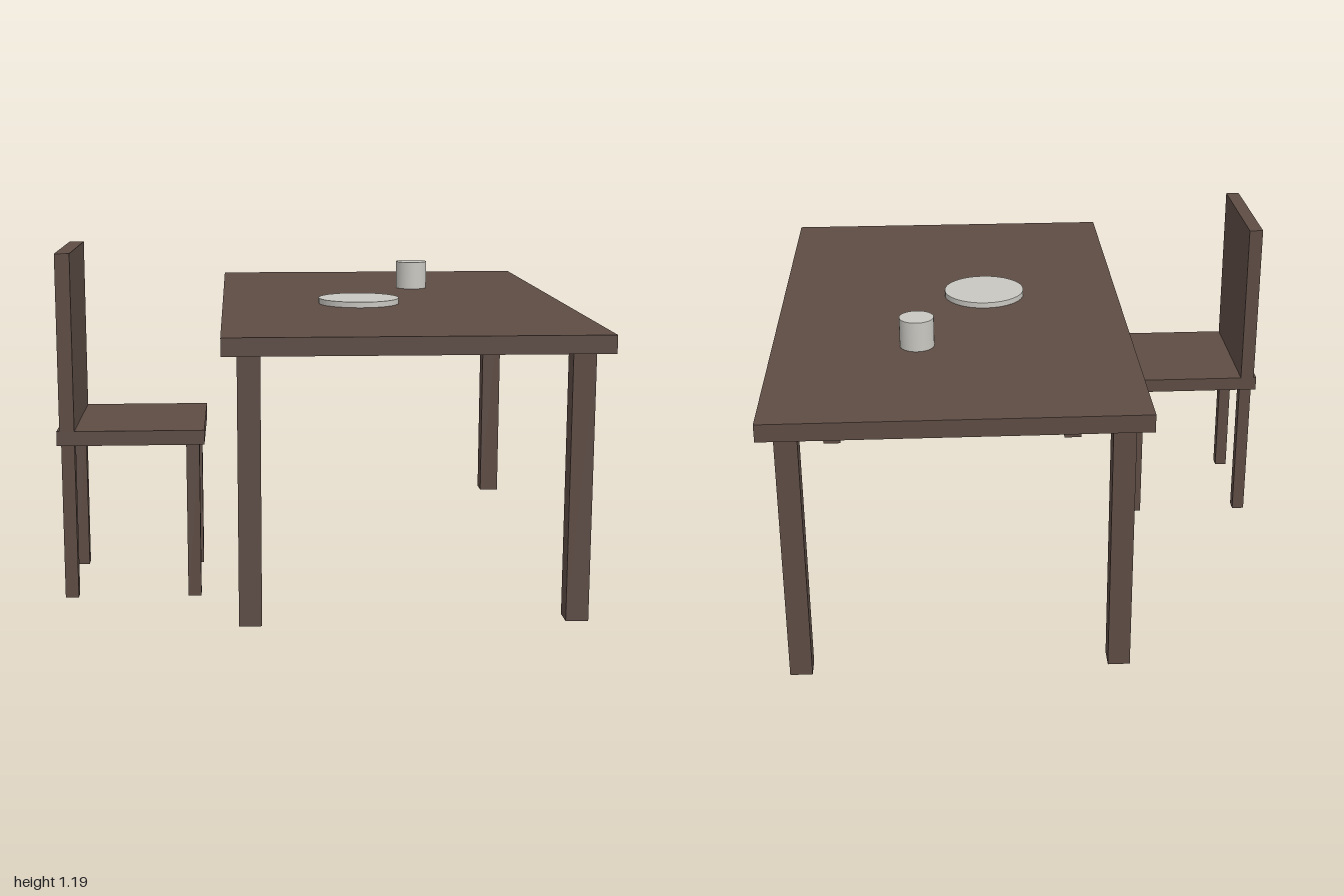
import * as THREE from 'three';

export function createModel() {
  const wood = new THREE.MeshStandardMaterial({ color: 0x5d4c44 });
  wood.name = 'dark wood';
  const ceramic = new THREE.MeshStandardMaterial({ color: 0xc9c7c1 });
  ceramic.name = 'pale ceramic';

  const makeGroup = (name) => {
    const group = new THREE.Group();
    group.name = name;
    return group;
  };

  // Box or cylinder standing on height y
  const addPart = (parent, name, geometry, material, x, y, z, height) => {
    const mesh = new THREE.Mesh(geometry, material);
    mesh.name = name;
    mesh.position.set(x, y + height / 2, z);
    parent.add(mesh);
  };
  const addBox = (parent, name, w, h, d, x, y, z) =>
    addPart(parent, name, new THREE.BoxGeometry(w, h, d), wood, x, y, z, h);
  const addRound = (parent, name, r, h, x, y, z) =>
    addPart(parent, name, new THREE.CylinderGeometry(r, r, h, 32), ceramic, x, y, z, h);

  // Four square legs at every pairing of the given x and z positions
  const addLegs = (parent, name, size, height, xs, zs) => {
    for (const x of xs) for (const z of zs) addBox(parent, name, size, height, size, x, 0, z);
  };

  const model = makeGroup('diningSet');

  // Table
  const table = makeGroup('table');
  addBox(table, 'tableTop', 1.25, 0.06, 2, 0.28, 0.9, 0);
  addLegs(table, 'tableLeg', 0.075, 0.9, [-0.2575, 0.8175], [-0.9, 0.9]);

  // Chair, facing the table
  const chair = makeGroup('chair');
  addBox(chair, 'seat', 0.498, 0.05, 0.498, -0.656, 0.54, 0.375);
  addBox(chair, 'backrest', 0.05, 0.6, 0.498, -0.87, 0.59, 0.375);
  addLegs(chair, 'chairLeg', 0.045, 0.54, [-0.87, -0.447], [0.177, 0.579]);

  // Tableware
  const tableware = makeGroup('tableware');
  addRound(tableware, 'plate', 0.148, 0.02, 0.155, 0.96, 0.125);
  addRound(tableware, 'cup', 0.06, 0.105, 0.404, 0.96, -0.375);

  model.add(table, chair, tableware);
  return model;
}
